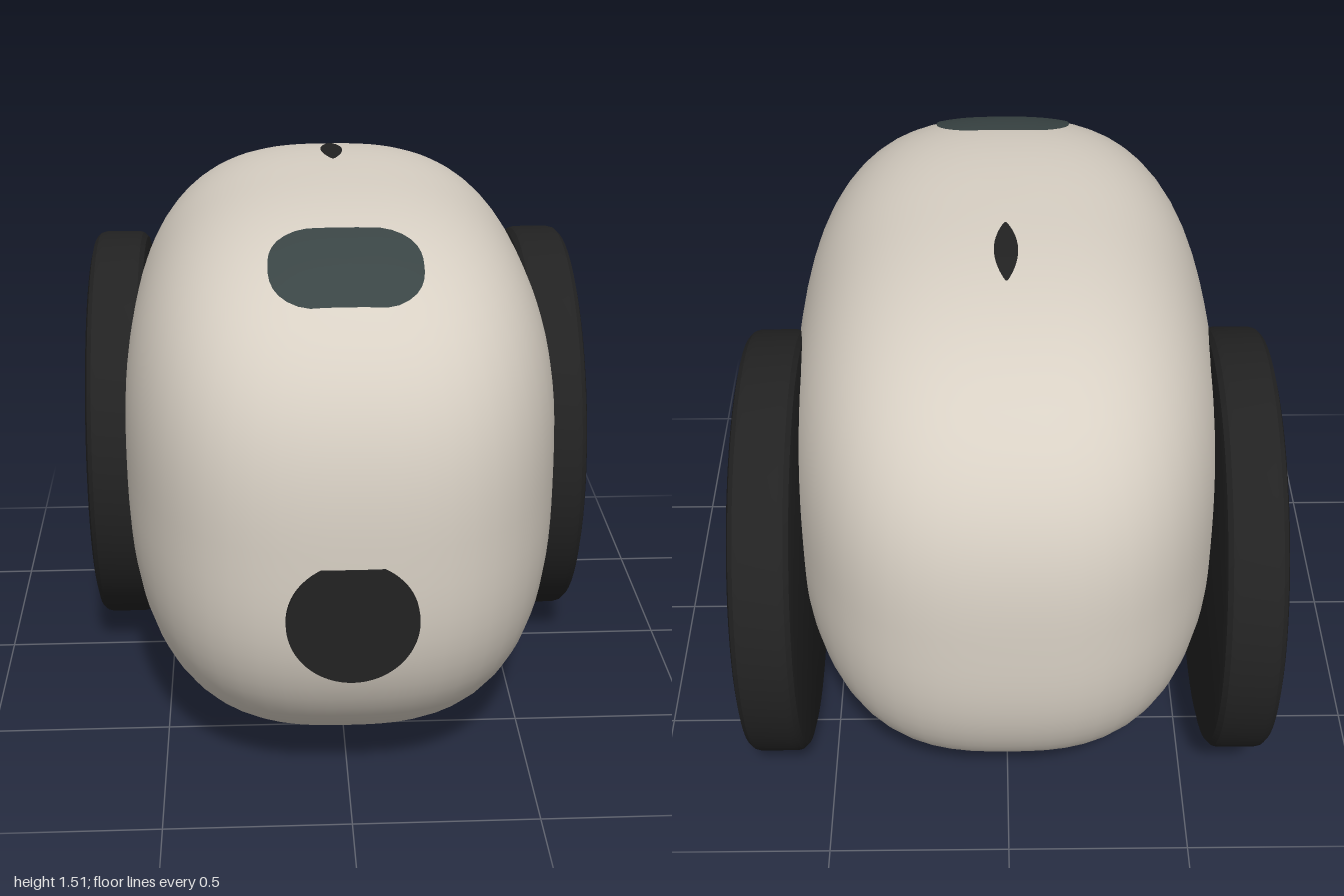
import * as THREE from 'three';
import { toCreasedNormals } from 'three/addons/utils/BufferGeometryUtils.js';

const N = 2.75;                       // roundness of the shell
const A = 0.61, B = 0.75, C = 0.998;  // half width, height, length
const MID = 0.75, FLOOR = 0.11;       // shell centre and flat underside

const material = (name, color, extra = {}) => {
  const m = new THREE.MeshStandardMaterial({ color, ...extra });
  m.name = name;
  return m;
};

const addMesh = (parent, name, geometry, mat) => {
  const mesh = new THREE.Mesh(geometry, mat);
  mesh.name = name;
  parent.add(mesh);
  return mesh;
};

// Stretch from a unit circle to a superellipse in direction (x, z)
const stretch = (x, z, n = N) => {
  const r = Math.hypot(x, z);
  return r < 1e-9 ? 1 : r / Math.pow(Math.abs(x) ** n + Math.abs(z) ** n, 1 / n);
};

// Height of the shell above (x, z)
const shellTop = (x, z) =>
  MID + B * Math.pow(Math.max(0, 1 - Math.abs(x / A) ** N - Math.abs(z / C) ** N), 1 / N);

function shellGeometry() {
  const points = [];
  const start = Math.asin((FLOOR - MID) / B);
  for (let i = 0; i <= 36; i++) {
    const t = start + (Math.PI / 2 - start) * i / 36;
    const v = Math.sin(t);
    const r = i === 36 ? 0 : Math.pow(Math.max(0, 1 - Math.abs(v) ** N), 1 / N);
    points.push(new THREE.Vector2(r, v));
  }
  const g = new THREE.LatheGeometry(points, 64);
  const p = g.attributes.position, normal = g.attributes.normal;
  const slope = (u, s) => Math.sign(u) * Math.abs(u) ** (N - 1) / s;
  const n = new THREE.Vector3();
  for (let i = 0; i < p.count; i++) {
    const k = stretch(p.getX(i), p.getZ(i));
    const x = p.getX(i) * k, y = p.getY(i), z = p.getZ(i) * k;
    n.set(slope(x, A), slope(y, B), slope(z, C)).normalize();
    normal.setXYZ(i, n.x, n.y, n.z);
    p.setXYZ(i, x * A, MID + y * B, z * C);
  }
  return g;
}

function undersideGeometry() {
  const r = Math.pow(1 - ((MID - FLOOR) / B) ** N, 1 / N);
  const g = new THREE.CircleGeometry(r, 64).rotateX(Math.PI / 2);
  const p = g.attributes.position;
  for (let i = 0; i < p.count; i++) {
    const k = stretch(p.getX(i), p.getZ(i));
    p.setXYZ(i, p.getX(i) * k * A, FLOOR, p.getZ(i) * k * C);
  }
  return g;
}

// Thin patch that follows the top of the shell
function patchGeometry(zMid, outline, lift) {
  const g = new THREE.RingGeometry(0, 1, 40, 8).rotateX(-Math.PI / 2);
  const p = g.attributes.position;
  for (let i = 0; i < p.count; i++) {
    const [x, dz] = outline(p.getX(i), p.getZ(i));
    p.setXYZ(i, x, shellTop(x, zMid + dz) + lift, zMid + dz);
  }
  g.computeVertexNormals();
  return g;
}

// Disc lying along x, turned from a half profile
function tyreGeometry() {
  const half = [[0.6, 0.05], [0.596, 0.065], [0.583, 0.078], [0.555, 0.085], [0, 0.085]];
  const profile = [
    ...half.map(([r, y]) => [r, -y]).reverse(),
    ...half,
  ].map(([r, y]) => new THREE.Vector2(r, y));
  const g = new THREE.LatheGeometry(profile, 64).rotateZ(-Math.PI / 2);
  return toCreasedNormals(g, Math.PI / 6);
}

export function createModel() {
  const model = new THREE.Group();
  model.name = 'wheeledRobot';
  const cream = material('warm cream', 0xd8d0c4);
  const black = material('rubber black', 0x222222);
  const grey = material('hub grey', 0xb0b0b8);
  const slate = material('dark slate', 0x3a4545, { side: THREE.DoubleSide });

  // Shell
  addMesh(model, 'shell', shellGeometry(), cream);
  addMesh(model, 'underside', undersideGeometry(), cream);

  // Sensor window on the upper front
  addMesh(model, 'sensorWindow', patchGeometry(0.605, (x, z) => {
    const k = stretch(x, z, 2.6);
    return [x * k * 0.2, THREE.MathUtils.clamp(z * k * 0.16, -0.148, 0.148)];
  }, 0.006), slate);

  // Narrow slot on the top
  addMesh(model, 'topSlot', patchGeometry(-0.25, (x, z) =>
    [x * 0.032 * Math.sqrt(Math.max(0, 1 - z * z * 0.8)), z * 0.13], 0.008), black);

  // Round front lens with a flat upper edge
  const lens = new THREE.Shape();
  const flat = Math.asin(0.15 / 0.17);
  lens.absarc(0, 0, 0.17, Math.PI - flat, Math.PI * 2 + flat, false);
  lens.closePath();
  const lensGeometry = new THREE.ExtrudeGeometry(lens, { depth: 0.1, bevelEnabled: false, curveSegments: 48 });
  addMesh(model, 'frontLens', lensGeometry, black).position.set(0, 0.6, 0.902);

  // Wheels
  const tyre = tyreGeometry();
  const hub = new THREE.CylinderGeometry(0.31, 0.31, 0.03, 48).rotateZ(Math.PI / 2);
  for (const [side, s] of [['left', 1], ['right', -1]]) {
    const wheel = new THREE.Group();
    wheel.name = side + 'Wheel';
    wheel.position.set(s * 0.642, 0.6, -0.36);
    addMesh(wheel, side + 'Tyre', tyre, black);
    addMesh(wheel, side + 'Hub', hub, grey).position.x = s * 0.081;
    model.add(wheel);
  }
  return model;
}
